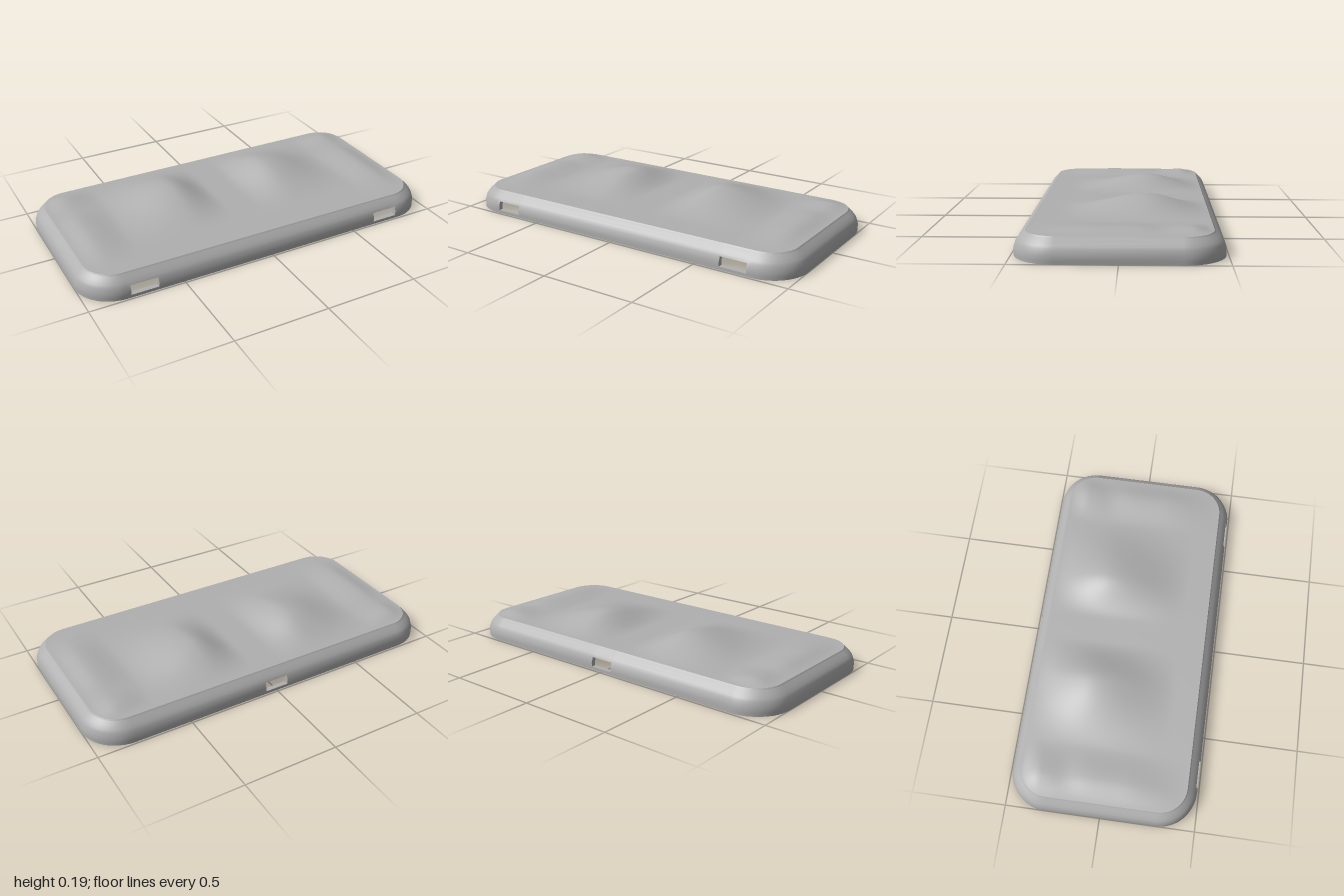
import * as THREE from 'three';
import { toCreasedNormals } from 'three/addons/utils/BufferGeometryUtils.js';

const HX = 1, HZ = 0.49, R = 0.2;     // outline half sizes and corner radius
const TOP = 0.116;                    // height of the flat part of the lid
const ARC = 12;                       // segments per corner

// Rounded rectangle, inset from the outline, with extra points at the slot edges
function outline(inset, y) {
  const pts = [], r = R - inset;
  const corner = (sx, sz, start) => {
    for (let i = 0; i <= ARC; i++) {
      const t = start + (i / ARC) * Math.PI / 2;
      pts.push([sx * (HX - R) + r * Math.cos(t), y, sz * (HZ - R) + r * Math.sin(t)]);
    }
  };
  corner(1, 1, 0);
  for (const x of [0.78, 0.635, -0.635, -0.78]) pts.push([x, y, HZ - inset]);
  corner(-1, 1, Math.PI / 2);
  corner(-1, -1, Math.PI);
  for (const x of [-0.065, 0.065]) pts.push([x, y, inset - HZ]);
  corner(1, -1, Math.PI * 1.5);
  return pts;
}
const F = ARC + 1, B = 3 * (ARC + 1) + 4;
const SLOTS = [F, F + 2, B];          // columns that are open
const SLOT_ROWS = [1, 2];             // profile bands that are open

// Surface through rows of points, leaving out cells where skip(row, column)
function surface(rows, { closed = false, flip = false, skip = () => false } = {}) {
  const n = rows[0].length, index = [];
  for (let j = 0; j < rows.length - 1; j++) {
    for (let i = 0; i < (closed ? n : n - 1); i++) {
      if (skip(j, i)) continue;
      const k = (i + 1) % n;
      const a = j * n + i, b = j * n + k, c = a + n, d = b + n;
      if (flip) index.push(a, b, c, b, d, c);
      else index.push(a, c, b, b, c, d);
    }
  }
  const g = new THREE.BufferGeometry();
  g.setAttribute('position', new THREE.Float32BufferAttribute(rows.flat(2), 3));
  g.setIndex(index);
  g.computeVertexNormals();
  return g;
}

const smooth = (a, b, v) => THREE.MathUtils.smoothstep((v - a) / (b - a), 0, 1);

// Height of the sculpted lid: two large humps and a low swell at each end
function lidHeight(x, z) {
  const ax = Math.abs(x);
  const hump = 0.072 * (ax < 0.3 ? smooth(0.07, 0.3, ax) : smooth(0.67, 0.3, ax))
    * (z > -0.12 ? smooth(0.31, -0.12, z) : smooth(-0.45, -0.12, z));
  const dip = 1 - 0.45 * Math.exp(-(((z + 0.2) / 0.08) ** 2));
  const swell = 0.019 * (ax < 0.83 ? smooth(0.65, 0.83, ax) : smooth(0.945, 0.83, ax))
    * smooth(0.435, 0.1, z) * smooth(-0.435, -0.33, z) * dip;
  return TOP + hump + swell;
}

export function createModel() {
  const model = new THREE.Group();
  const grey = new THREE.MeshStandardMaterial({ color: 0xb0b0b0, side: THREE.DoubleSide });
  grey.name = 'plain grey';
  const add = (name, geometry, parent = model) => {
    const mesh = new THREE.Mesh(geometry, grey);
    mesh.name = name;
    parent.add(mesh);
    return mesh;
  };

  // Hollow shell with three slots through its walls
  const outer = [[0, 0], [0, 0.016], [0, 0.038], [0.009, 0.065], [0.018, 0.079], [0.032, 0.094],
    [0.05, 0.11]].map(p => outline(...p));
  const inner = [[0.025, 0], [0.025, 0.016], [0.025, 0.038], [0.034, 0.065], [0.045, 0.08],
    [0.07, 0.098]].map(p => outline(...p));
  const skip = (j, i) => SLOT_ROWS.includes(j) && SLOTS.includes(i);
  add('outerWall', surface(outer, { closed: true, skip }));
  add('innerWall', surface(inner, { closed: true, flip: true, skip }));
  add('bottomRim', surface([outer[0], inner[0]], { closed: true, flip: true }));
  add('topLip', surface([outline(0.05, 0.11), outline(0.055, TOP)], { closed: true }));

  // Reveals around each slot
  for (const c of SLOTS) {
    const slot = new THREE.Group();
    slot.name = 'slotFrame';
    const side = (rows, col) => rows.slice(1, 4).map(r => r[col]);
    add('slotSideA', surface([side(outer, c), side(inner, c)]), slot);
    add('slotSideB', surface([side(outer, c + 1), side(inner, c + 1)], { flip: true }), slot);
    const edge = (rows, j) => [rows[j][c], rows[j][c + 1]];
    add('slotSill', surface([edge(outer, 1), edge(inner, 1)]), slot);
    add('slotHead', surface([edge(outer, 3), edge(inner, 3)], { flip: true }), slot);
    model.add(slot);
  }

  // Flat underside of the lid
  const flat = new THREE.Shape(outline(0.07, 0).map(p => new THREE.Vector2(p[0], p[2])));
  const ceiling = new THREE.ShapeGeometry(flat);
  ceiling.rotateX(Math.PI / 2).translate(0, 0.098, 0);
  add('ceiling', ceiling);

  // Sculpted lid, each row as wide as the rounded outline at that depth
  const hx = HX - 0.055, hz = HZ - 0.055, r = R - 0.055, rows = [];
  const NX = 120, NZ = 64;
  for (let j = 0; j <= NZ; j++) {
    const z = -hz * Math.cos((j / NZ) * Math.PI);
    const d = Math.max(0, Math.abs(z) - (hz - r));
    const w = hx - r + Math.sqrt(Math.max(0, r * r - d * d));
    rows.push(Array.from({ length: NX + 1 }, (_, i) => {
      const x = w * (2 * i / NX - 1);
      return [x, lidHeight(x, z), z];
    }));
  }
  add('sculptedLid', surface(rows));

  // Hollow screw posts under the lid
  const profile = [[0.018, 0.098], [0.018, 0.02], [0.036, 0.02], [0.036, 0.099]]
    .map(p => new THREE.Vector2(...p));
  const postGeometry = toCreasedNormals(new THREE.LatheGeometry(profile, 24), 0.6);
  for (const s of [-1, 1]) {
    for (const [x, z] of [[0.88, 0.37], [0.88, -0.37], [0.36, 0.41]]) {
      add('screwPost', postGeometry).position.set(s * x, 0, z);
    }
  }
  return model;
}
